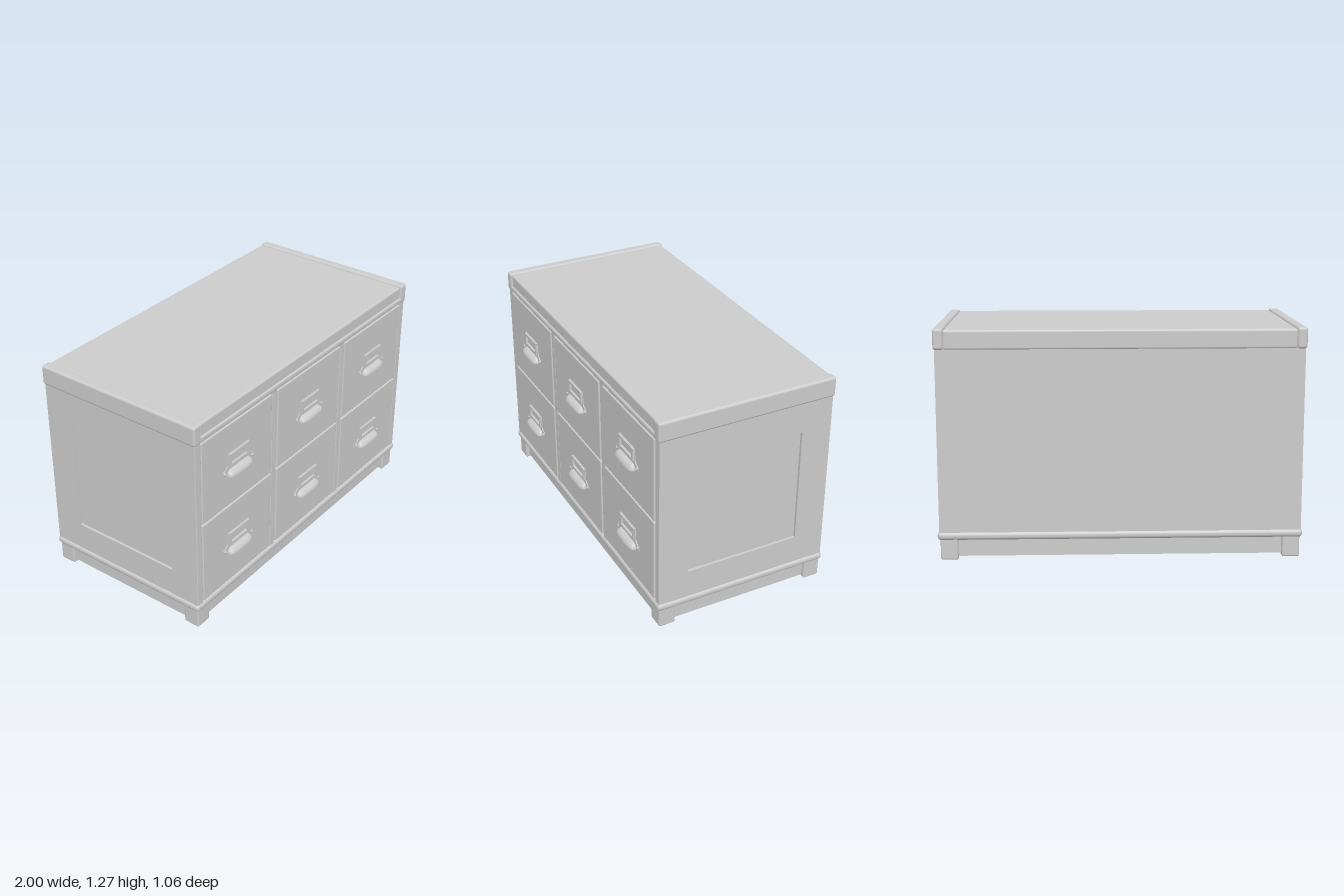
import * as THREE from 'three';
import { RoundedBoxGeometry } from 'three/addons/geometries/RoundedBoxGeometry.js';
import { ParametricGeometry } from 'three/addons/geometries/ParametricGeometry.js';

export function createModel() {
  const model = new THREE.Group();
  model.name = 'drawerCabinet';
  const grey = new THREE.MeshStandardMaterial({ color: 0xcccccc, side: THREE.DoubleSide });
  grey.name = 'plain grey';

  const add = (name, geometry, parent = model) => {
    const mesh = new THREE.Mesh(geometry, grey);
    mesh.name = name;
    parent.add(mesh);
    return mesh;
  };
  // Box given by its extents; r rounds the edges
  const block = (name, [x0, x1], [y0, y1], [z0, z1], r = 0) => {
    const size = [x1 - x0, y1 - y0, z1 - z0];
    const geometry = r ? new RoundedBoxGeometry(...size, 3, r) : new THREE.BoxGeometry(...size);
    add(name, geometry).position.set((x0 + x1) / 2, (y0 + y1) / 2, (z0 + z1) / 2);
  };
  const rectangle = (PathType, x0, x1, y0, y1) => new PathType([
    [x0, y0], [x1, y0], [x1, y1], [x0, y1]].map(p => new THREE.Vector2(...p)));

  // Carcass with a framed, recessed panel on each side
  block('carcass', [-0.975, 0.975], [0.13, 1.17], [-0.52, 0.465]);
  const frame = rectangle(THREE.Shape, -0.483, 0.52, 0.14, 1.17);
  frame.holes.push(rectangle(THREE.Path, -0.315, 0.345, 0.32, 0.99));
  const frameGeometry = new THREE.ExtrudeGeometry(frame, { depth: 0.018, bevelEnabled: false });
  frameGeometry.rotateY(Math.PI / 2);
  add('leftSideFrame', frameGeometry).position.x = 0.972;
  add('rightSideFrame', frameGeometry).position.x = -0.99;

  // Front stiles and dividers
  for (const s of [-1, 1]) {
    block('frontStile', [s * 0.967 - 0.022, s * 0.967 + 0.022], [0.15, 1.17], [0.44, 0.486], 0.004);
    block('divider', [s * 0.324 - 0.02, s * 0.324 + 0.02], [0.15, 1.17], [0.44, 0.486], 0.004);
  }

  // Top slab, end caps and front moulding
  block('topSlab', [-0.945, 0.945], [1.16, 1.266], [-0.525, 0.482], 0.012);
  block('topMoulding', [-0.996, 0.996], [1.16, 1.198], [0.43, 0.491], 0.014);
  for (const s of [-1, 1])
    block('endCap', [s * 0.97 - 0.028, s * 0.97 + 0.028], [1.16, 1.274], [-0.53, 0.492], 0.014);

  // Base moulding, feet and skirts
  block('baseMoulding', [-1, 1], [0.115, 0.16], [-0.53, 0.495], 0.02);
  for (const s of [-1, 1]) {
    const x = s * 0.937;
    for (const z of [0.434, -0.473])
      block('foot', [x - 0.048, x + 0.048], [0.003, 0.125], [z - 0.048, z + 0.048], 0.01);
    block('sideSkirt', [s * 0.95 - 0.015, s * 0.95 + 0.015], [0.02, 0.13], [-0.47, 0.43]);
  }
  block('frontSkirt', [-0.93, 0.93], [0.02, 0.13], [0.43, 0.46]);
  block('backSkirt', [-0.93, 0.93], [0.02, 0.13], [-0.5, -0.47]);

  // Label holder plate, flaring out to two ears
  const plate = new THREE.Shape();
  const outline = [[0.128, 0.87], [0.128, 0.888], [0.108, 0.898], [0.092, 0.915], [0.088, 0.985]];
  outline.forEach(([x, y], i) => (i ? plate.lineTo(x, y) : plate.moveTo(x, y)));
  [...outline].reverse().forEach(([x, y]) => plate.lineTo(-x, y));
  plate.holes.push(rectangle(THREE.Path, -0.068, 0.068, 0.923, 0.97));
  const plateGeometry = new THREE.ExtrudeGeometry(plate, { depth: 0.006, bevelEnabled: false });

  // Raised rim around the label window
  const rim = rectangle(THREE.Shape, -0.084, 0.084, 0.912, 0.984);
  rim.holes.push(rectangle(THREE.Path, -0.068, 0.068, 0.923, 0.97));
  const rimGeometry = new THREE.ExtrudeGeometry(rim, { depth: 0.014, bevelEnabled: false });

  // Hollow cup pull: a soft half outline shrinking towards its top
  const cupGeometry = new ParametricGeometry((u, v, target) => {
    const a = Math.PI * u, c = Math.cos(a), s = Math.max(0, Math.sin(a));
    const shrink = Math.cos(v * Math.PI / 2);
    target.set(
      Math.sign(c) * Math.sqrt(Math.abs(c)) * (0.068 + 0.032 * shrink),
      0.859 + 0.034 * Math.sin(v * Math.PI / 2),
      Math.sqrt(s) * 0.041 * shrink);
  }, 28, 8);
  const screwGeometry = new THREE.SphereGeometry(0.009, 12, 8);

  // Six drawers, each with its hardware
  for (const x of [-0.646, 0, 0.642]) {
    for (const y of [0, -0.5]) {
      block('drawerFront', [x - 0.297, x + 0.297], [y + 0.665, y + 1.156], [0.44, 0.49], 0.006);
      const handle = new THREE.Group();
      handle.name = 'drawerHandle';
      handle.position.set(x, y, 0.489);
      add('handlePlate', plateGeometry, handle);
      add('labelRim', rimGeometry, handle);
      add('cupPull', cupGeometry, handle);
      for (const s of [-1, 1])
        add('screw', screwGeometry, handle).position.set(s * 0.117, 0.879, 0.004);
      model.add(handle);
    }
  }

  // Centre the depth on z = 0
  const box = new THREE.Box3().setFromObject(model);
  const shift = (box.min.z + box.max.z) / 2;
  model.children.forEach(child => { child.position.z -= shift; });
  return model;
}
